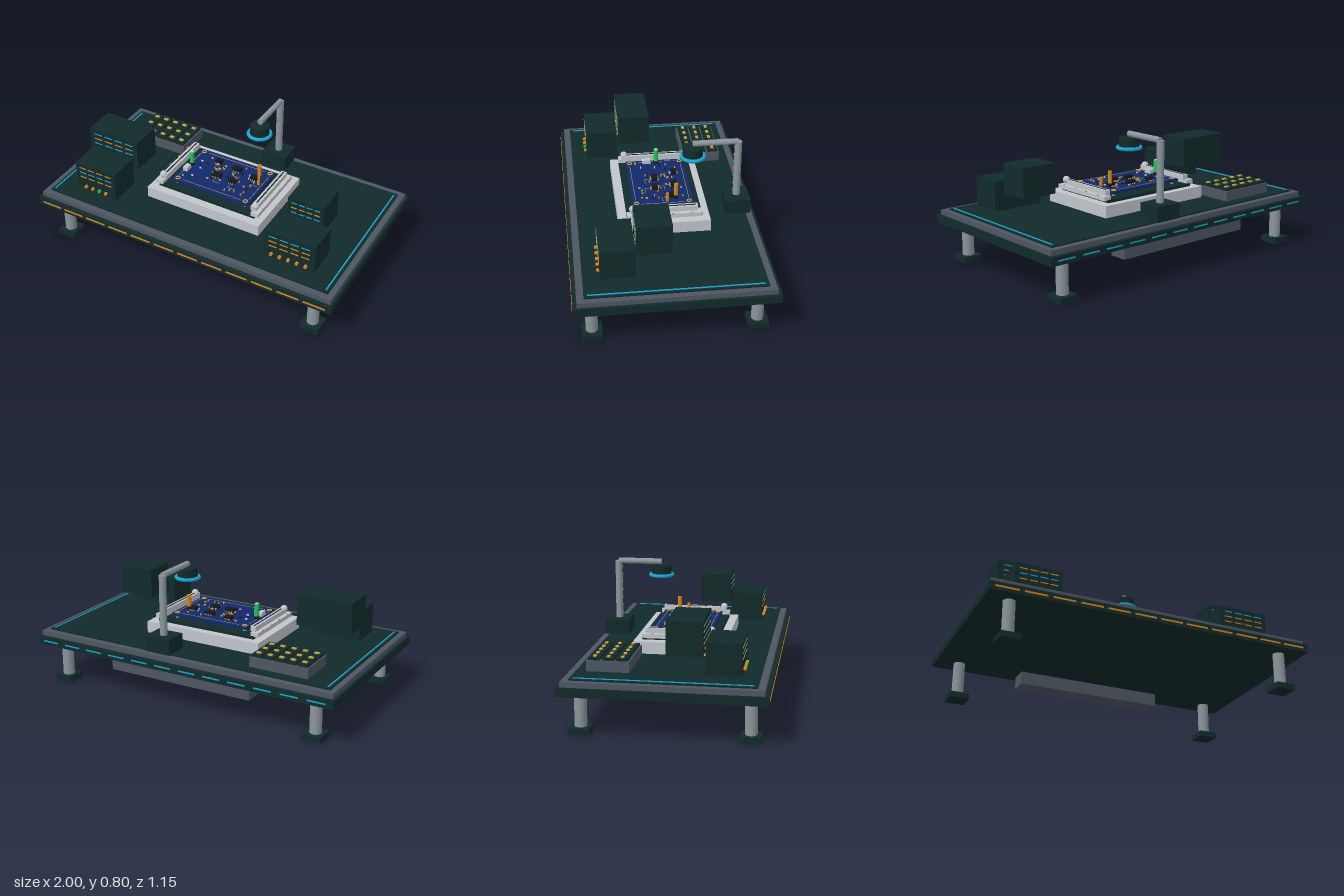
import * as THREE from 'three';

const mat = (name, color, side = THREE.FrontSide) => {
  const m = new THREE.MeshStandardMaterial({ color, side });
  m.name = name;
  return m;
};

export function createModel() {
  const M = {
    dark: mat('dark casing', 0x122a2a),
    slate: mat('slate trim', 0x4d5661),
    steel: mat('steel', 0x8a959b),
    pale: mat('pale metal', 0xc2c6cc),
    board: mat('board blue', 0x12286a),
    gold: mat('gold', 0xc9a23a),
    orange: mat('orange', 0xd9841c),
    cyan: mat('cyan', 0x16a6d0),
    green: mat('green', 0x22c552),
    chip: mat('chip black', 0x15191c),
  };
  const model = new THREE.Group();
  model.name = 'electronicsBench';

  const group = (name) => {
    const g = new THREE.Group();
    g.name = name;
    model.add(g);
    return g;
  };
  const put = (parent, name, geo, m, x, y, z) => {
    const mesh = new THREE.Mesh(geo, m);
    mesh.name = name;
    mesh.position.set(x, y, z);
    parent.add(mesh);
    return mesh;
  };
  // box given by its centre in x and z and its bottom and top heights
  const box = (p, name, m, x, z, w, d, y0, y1) =>
    put(p, name, new THREE.BoxGeometry(w, y1 - y0, d), m, x, (y0 + y1) / 2, z);
  const cyl = (p, name, m, x, z, r, y0, y1, n = 24) =>
    put(p, name, new THREE.CylinderGeometry(r, r, y1 - y0, n), m, x, (y0 + y1) / 2, z);

  // table
  const table = group('table');
  box(table, 'tableSlab', M.dark, 0, 0, 2, 1.148, 0.24, 0.29);
  box(table, 'tableRim', M.slate, 0, 0, 1.97, 1.1, 0.29, 0.32);
  box(table, 'workMat', M.dark, 0, 0, 1.9, 1.02, 0.32, 0.328);
  box(table, 'cableTray', M.slate, 0, -0.475, 0.935, 0.112, 0.16, 0.24);
  for (const s of [-1, 1]) {
    box(table, 'sideLight', M.cyan, s * 0.93, 0, 0.008, 0.98, 0.327, 0.332);
    for (const t of [-1, 1]) {
      cyl(table, 'leg', M.steel, s * 0.855, t * 0.47, 0.035, 0.03, 0.24);
      box(table, 'foot', M.dark, s * 0.855, t * 0.47, 0.118, 0.118, 0, 0.035);
    }
  }
  for (let i = 0; i < 12; i++) {
    const x = -0.9 + i * 0.1636;
    box(table, 'frontDash', M.orange, x, 0.574, 0.135, 0.006, 0.259, 0.269);
    box(table, 'backDash', M.cyan, x, -0.574, 0.11, 0.006, 0.261, 0.269);
  }

  // circuit board holder
  const holder = group('boardHolder');
  box(holder, 'holderBase', M.pale, 0, 0, 0.77, 0.54, 0.328, 0.4);
  box(holder, 'holderPlate', M.dark, 0, -0.003, 0.66, 0.445, 0.4, 0.418);
  for (const s of [-1, 1]) {
    box(holder, 'lowerRail', M.pale, s * 0.33, 0, 0.05, 0.44, 0.414, 0.44);
    box(holder, 'upperRail', M.pale, s * 0.312, 0, 0.036, 0.4, 0.44, 0.47);
    box(holder, 'railSlot', M.dark, s * 0.312, 0, 0.008, 0.38, 0.469, 0.472);
    put(holder, 'clampKnob', new THREE.SphereGeometry(0.022, 16, 12), M.pale, s * 0.32, 0.468, 0.185);
    for (const z of [-0.16, -0.05, 0.05, 0.16]) {
      box(holder, 'railStud', M.gold, s * 0.356, z, 0.006, 0.014, 0.44, 0.446);
      cyl(holder, 'boardPost', M.steel, s * 0.235, z, 0.01, 0.418, 0.435, 10);
    }
  }

  // circuit board with traces and components
  const pcb = group('circuitBoard');
  const top = 0.45;
  box(pcb, 'boardPanel', M.board, 0, -0.003, 0.525, 0.365, 0.434, top);
  const trace = (x0, z0, x1, z1) =>
    box(pcb, 'trace', M.gold, (x0 + x1) / 2, (z0 + z1) / 2, Math.abs(x1 - x0) + 0.003,
      Math.abs(z1 - z0) + 0.003, top - 0.001, top + 0.001);
  for (const s of [-1, 1]) {
    trace(-0.2, s * 0.16 - 0.003, 0.2, s * 0.16 - 0.003);
    trace(s * 0.245, -0.13, s * 0.245, 0.125);
    for (const t of [-1, 1]) {
      const ring = put(pcb, 'mountRing', new THREE.TorusGeometry(0.013, 0.004, 6, 20), M.gold,
        s * 0.235, top + 0.001, t * 0.158 - 0.003);
      ring.rotation.x = Math.PI / 2;
    }
  }
  const chips = [[-0.095, -0.105], [0.045, -0.09], [0.175, -0.065], [-0.035, 0.02], [0.075, 0.03]];
  chips.forEach(([x, z], i) => {
    const w = i % 2 ? 0.054 : 0.042;
    box(pcb, 'chip', M.chip, x, z, w, 0.036, top, top + 0.022);
    for (let k = -1; k <= 1; k++) for (const s of [-1, 1])
      box(pcb, 'chipPin', M.gold, x + k * w * 0.32, z + s * 0.022, 0.005, 0.009, top, top + 0.006);
    trace(x, z + 0.026, x, z + 0.06);
    trace(x, z + 0.06, x + 0.05, z + 0.06);
  });
  let seed = 7;
  const rand = () => (seed = (seed * 16807) % 2147483647) / 2147483647;
  for (let i = 0; i < 44; i++) {
    const x = (rand() - 0.5) * 0.44, z = (rand() - 0.5) * 0.29;
    const m = [M.gold, M.pale, M.chip, M.gold, M.orange][i % 5];
    box(pcb, 'smallPart', m, x, z, i % 2 ? 0.014 : 0.006, i % 2 ? 0.006 : 0.012, top, top + 0.009);
  }
  cyl(pcb, 'greenCapacitor', M.green, -0.235, -0.012, 0.015, 0.455, 0.543);
  cyl(pcb, 'capacitorTop', M.pale, -0.235, -0.012, 0.012, 0.543, 0.546);
  cyl(pcb, 'capacitorFoot', M.chip, -0.235, -0.012, 0.017, top, 0.465);
  cyl(pcb, 'coilFoot', M.chip, 0.2, -0.085, 0.01, top, 0.48);
  cyl(pcb, 'orangeCoil', M.orange, 0.2, -0.085, 0.012, 0.475, 0.55);
  cyl(pcb, 'smallCoil', M.orange, 0.225, -0.03, 0.009, top, 0.505);
  box(pcb, 'connector', M.pale, -0.235, 0.05, 0.03, 0.05, top, 0.475);

  // instruments: front face carries rows of dashes and a row of knobs
  const instrument = (name, x, w, z, y0, y1, rows, knobs) => {
    const g = group(name);
    const front = z + 0.1;
    box(g, 'casing', M.dark, x, z, w, 0.2, y0, y1);
    rows.forEach((m, r) => {
      const y = y1 - 0.03 - r * 0.033, n = 4, pitch = w * 0.86 / n;
      for (let i = 0; i < n; i++)
        box(g, 'displayDash', m, x + (i - (n - 1) / 2) * pitch, front, pitch * 0.75, 0.006, y - 0.003, y + 0.003);
    });
    knobs.forEach((m, i) => {
      const kx = x + (i - (knobs.length - 1) / 2) * w * 0.17;
      const knob = put(g, 'knob', new THREE.CylinderGeometry(0.01, 0.01, 0.018, 14), m, kx, y0 + 0.028, front + 0.007);
      knob.rotation.x = Math.PI / 2;
    });
  };
  const { orange: O, cyan: C, green: G } = M;
  instrument('leftFrontInstrument', -0.668, 0.287, 0.313, 0.337, 0.523, [O, C, O], [O, O, G, O]);
  instrument('leftBackInstrument', -0.67, 0.35, 0.104, 0.45, 0.64, [C, O, C, O], [O, G, G, O]);
  instrument('rightFrontInstrument', 0.657, 0.32, 0.313, 0.345, 0.523, [C, O, O], [O, O, O, O, O]);
  instrument('rightBackInstrument', 0.65, 0.225, 0.104, 0.45, 0.632, [C, O, C], [O, O, G]);

  // parts tray
  const tray = group('partsTray');
  box(tray, 'trayBody', M.slate, -0.607, -0.33, 0.365, 0.24, 0.328, 0.39);
  for (let i = 0; i < 5; i++) for (let j = 0; j < 3; j++) {
    const x = -0.75 + i * 0.0715, z = -0.408 + j * 0.078;
    box(tray, 'bin', M.dark, x, z, 0.062, 0.066, 0.39, 0.405);
    box(tray, 'binPart', M.gold, x, z, 0.028, 0.018, 0.405, 0.412);
  }

  // inspection lamp
  const lamp = group('lamp');
  const lx = 0.14, headZ = -0.19;
  box(lamp, 'lampBase', M.dark, lx, -0.462, 0.167, 0.15, 0.328, 0.42);
  cyl(lamp, 'lampPost', M.steel, lx, -0.462, 0.022, 0.42, 0.783);
  const arm = put(lamp, 'lampArm', new THREE.CylinderGeometry(0.018, 0.018, 0.27, 24), M.steel, lx, 0.783, -0.325);
  arm.rotation.x = Math.PI / 2;
  for (let i = 0; i < 7; i++)
    box(lamp, 'postLight', i % 2 ? M.orange : M.cyan, lx, -0.44, 0.01, 0.008, 0.742 - i * 0.049, 0.75 - i * 0.049);
  cyl(lamp, 'lampHead', M.dark, lx, headZ, 0.06, 0.705, 0.762, 32);
  const ring = (r, t, y) => {
    put(lamp, 'lampRing', new THREE.TorusGeometry(r, t, 12, 40), M.cyan, lx, y, headZ).rotation.x = Math.PI / 2;
  };
  ring(0.068, 0.011, 0.701);
  ring(0.024, 0.006, 0.704);

  return model;
}
